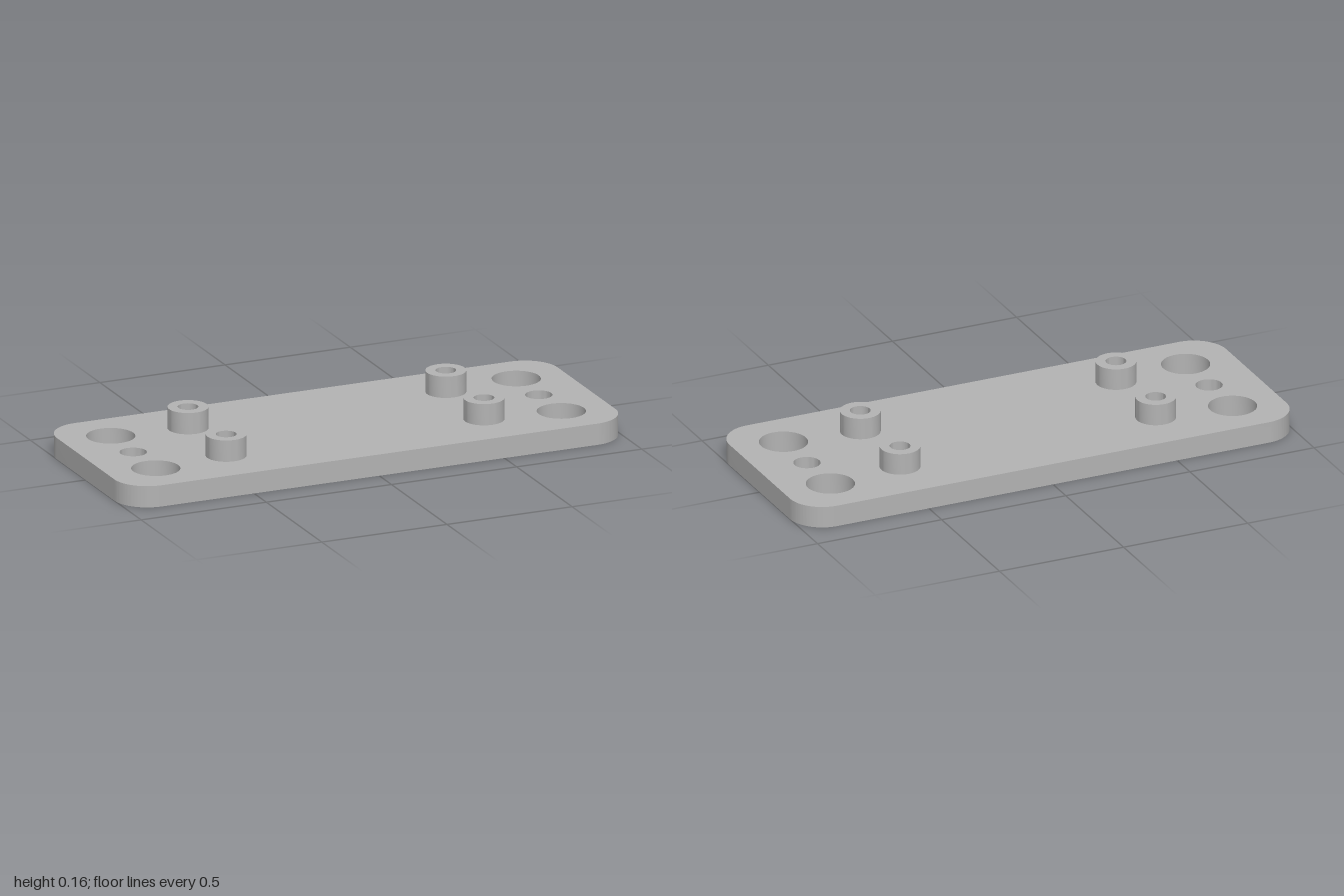
import * as THREE from 'three';
import { toCreasedNormals } from 'three/addons/utils/BufferGeometryUtils.js';

const HALF_X = 1, HALF_Z = 0.39, CORNER = 0.13;
const PLATE_H = 0.082, TOP = 0.164;
const BORE = 0.038, BOSS_R = 0.075;
const BOSS_X = 0.515, BOSS_Z = 0.172;

function circle(x, y, r, Type = THREE.Path) {
  const path = new Type();
  path.absarc(x, y, r, 0, Math.PI * 2, false);
  return path;
}

// Extrude a flat outline upwards, with smooth walls and sharp rims
function extrudeUp(shape, height) {
  const geometry = new THREE.ExtrudeGeometry(shape, {
    depth: height, bevelEnabled: false, curveSegments: 24,
  });
  geometry.rotateX(-Math.PI / 2);
  return toCreasedNormals(geometry, Math.PI / 5);
}

function roundedRect(hx, hy, r) {
  const s = new THREE.Shape();
  s.absarc(hx - r, hy - r, r, 0, Math.PI / 2, false);
  s.absarc(-hx + r, hy - r, r, Math.PI / 2, Math.PI, false);
  s.absarc(-hx + r, -hy + r, r, Math.PI, Math.PI * 1.5, false);
  s.absarc(hx - r, -hy + r, r, Math.PI * 1.5, Math.PI * 2, false);
  s.closePath();
  return s;
}

export function createModel() {
  const model = new THREE.Group();
  model.name = 'mountingPlate';
  const grey = new THREE.MeshStandardMaterial({ color: 0xb3b3b3 });
  grey.name = 'grey';

  // Base plate with two large holes and a small one at each end, plus standoff bores
  const outline = roundedRect(HALF_X, HALF_Z, CORNER);
  for (const sx of [-1, 1]) {
    outline.holes.push(circle(sx * 0.81, 0, 0.05));
    for (const sz of [-1, 1]) {
      outline.holes.push(circle(sx * 0.81, sz * 0.203, 0.09));
      outline.holes.push(circle(sx * BOSS_X, sz * BOSS_Z, BORE));
    }
  }
  const plate = new THREE.Mesh(extrudeUp(outline, PLATE_H), grey);
  plate.name = 'basePlate';
  model.add(plate);

  // Four hollow standoffs
  const ring = circle(0, 0, BOSS_R, THREE.Shape);
  ring.holes.push(circle(0, 0, BORE));
  const standoffGeometry = extrudeUp(ring, TOP - PLATE_H);
  for (const sx of [-1, 1]) {
    for (const sz of [-1, 1]) {
      const standoff = new THREE.Mesh(standoffGeometry, grey);
      standoff.name = `${sz > 0 ? 'front' : 'back'}${sx > 0 ? 'Left' : 'Right'}Standoff`;
      standoff.position.set(sx * BOSS_X, PLATE_H, sz * BOSS_Z);
      model.add(standoff);
    }
  }
  return model;
}
